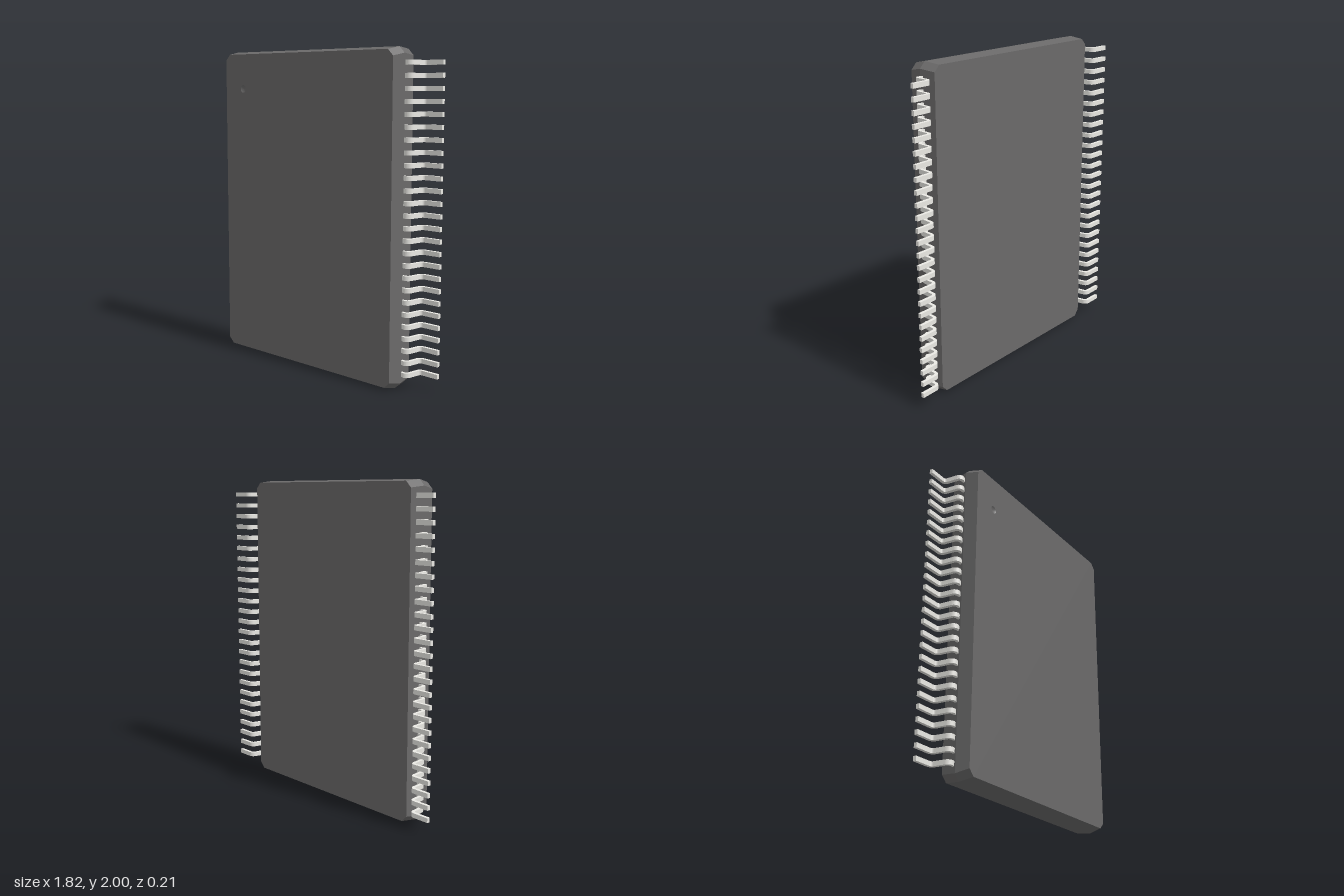
import * as THREE from 'three';

const bodyMat = new THREE.MeshStandardMaterial({ color: 0x6b6a6a, flatShading: true });
const dimpleMat = new THREE.MeshStandardMaterial({ color: 0x6b6a6a, side: THREE.DoubleSide });
const leadMat = new THREE.MeshStandardMaterial({ color: 0xeae9e4 });

const FRONT = 0.107, SEAM = 0.024, BACK = -0.073;
const MARK = { x: -0.54, y: 0.76, r: 0.025, depth: 0.008 };

// Rectangle with chamfered corners, counter-clockwise
function outline(hx, hy, c = 0.037) {
  return [
    [hx, -hy + c], [hx, hy - c], [hx - c, hy], [-hx + c, hy],
    [-hx, hy - c], [-hx, -hy + c], [-hx + c, -hy], [hx - c, -hy],
  ].map(([x, y]) => new THREE.Vector2(x, y));
}

// Sloping wall between two outlines
function wall(a, za, b, zb) {
  const pos = [];
  a.forEach((p, i) => {
    const j = (i + 1) % a.length, q = a[j], r = b[i], s = b[j];
    pos.push(p.x, p.y, za, q.x, q.y, za, s.x, s.y, zb);
    pos.push(p.x, p.y, za, s.x, s.y, zb, r.x, r.y, zb);
  });
  const g = new THREE.BufferGeometry();
  g.setAttribute('position', new THREE.Float32BufferAttribute(pos, 3));
  g.computeVertexNormals();
  return g;
}

// Bent strip: out from the body, back along a slanted leg, then out to the foot
function leadGeometry(width) {
  const t = 0.01, r = 0.025, turn = THREE.MathUtils.degToRad(82);
  const up = -Math.PI / 2;
  const x1 = 0.74, v1 = -0.014 + r, x2 = 0.799, v2 = 0.097 - r, tip = 0.908;
  const s = new THREE.Shape();
  s.moveTo(0.69, -0.014 - t);
  s.absarc(x1, v1, r + t, up, up + turn, false);
  s.absarc(x2, v2, r - t, Math.PI / 2 + turn, Math.PI / 2, true);
  s.lineTo(tip, 0.097 - t);
  s.lineTo(tip, 0.097 + t);
  s.absarc(x2, v2, r + t, Math.PI / 2, Math.PI / 2 + turn, false);
  s.absarc(x1, v1, r - t, up + turn, up, true);
  s.lineTo(0.69, -0.014 + t);
  const g = new THREE.ExtrudeGeometry(s, { depth: width, bevelEnabled: false, curveSegments: 6 });
  g.translate(0, 0, -width / 2);
  g.rotateX(-Math.PI / 2);
  return g;
}

export function createModel() {
  const model = new THREE.Group();
  model.name = 'chipPackage';
  const add = (parent, name, geo, mat) => {
    const m = new THREE.Mesh(geo, mat);
    m.name = name;
    parent.add(m);
    return m;
  };

  // Moulded body: two tapered halves meeting at a seam
  const body = new THREE.Group();
  body.name = 'body';
  body.position.y = 1;
  model.add(body);
  const front = outline(0.705, 0.983), seam = outline(0.722, 1), back = outline(0.711, 0.989);
  add(body, 'frontHalfWall', wall(seam, SEAM, front, FRONT), bodyMat);
  add(body, 'backHalfWall', wall(back, BACK, seam, SEAM), bodyMat);

  // Front face with an opening for the orientation mark
  const face = new THREE.Shape(front);
  face.holes.push(new THREE.Path().absarc(MARK.x, MARK.y, MARK.r, 0, Math.PI * 2, true));
  add(body, 'frontFace', new THREE.ShapeGeometry(face, 12), bodyMat).position.z = FRONT;
  const backFace = add(body, 'backFace', new THREE.ShapeGeometry(new THREE.Shape(back)), bodyMat);
  backFace.rotation.y = Math.PI;
  backFace.position.z = BACK;

  // Shallow round dimple marking the first lead
  const dish = [[0, -1], [0.5, -0.77], [0.8, -0.37], [1, 0]]
    .map(([r, d]) => new THREE.Vector2(r * MARK.r, d * MARK.depth));
  const dimple = add(body, 'orientationDimple', new THREE.LatheGeometry(dish, 24), dimpleMat);
  dimple.rotation.x = Math.PI / 2;
  dimple.position.set(MARK.x, MARK.y, FRONT);

  // Rows of leads on both sides
  const geo = leadGeometry(0.028), count = 26, pitch = 0.0728;
  for (const [name, angle] of [['left', 0], ['right', Math.PI]]) {
    const row = new THREE.Group();
    row.name = name + 'Leads';
    row.position.y = 1;
    row.rotation.z = angle;
    model.add(row);
    for (let i = 0; i < count; i++) {
      add(row, name + 'Lead' + (i + 1), geo, leadMat).position.y = (i - (count - 1) / 2) * pitch;
    }
  }
  return model;
}
